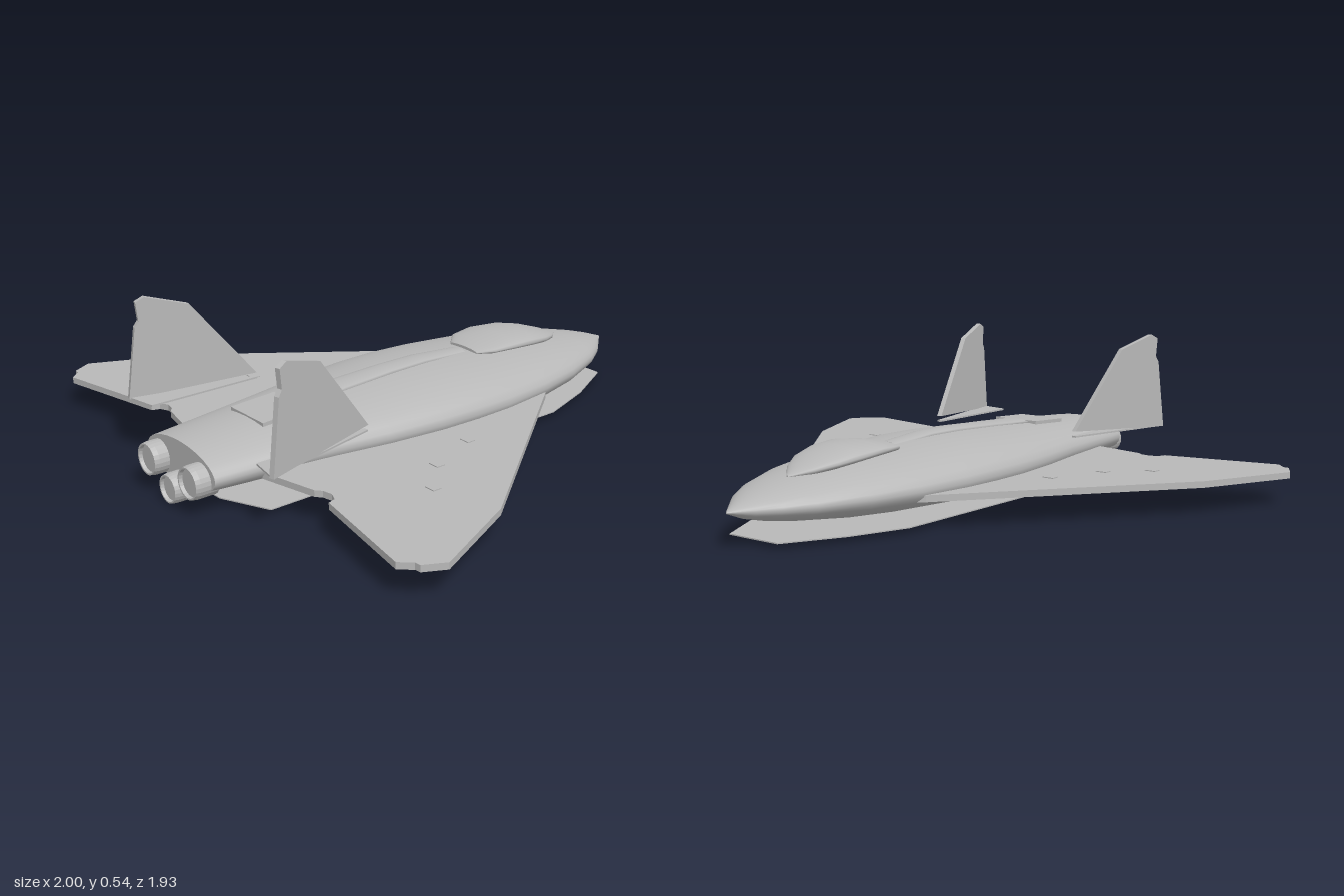
import * as THREE from 'three';

const hullGrey = new THREE.MeshStandardMaterial({ color: 0xb8b8b8, side: THREE.DoubleSide });
hullGrey.name = 'hullGrey';

function add(group, name, geometry) {
  const mesh = new THREE.Mesh(geometry, hullGrey);
  mesh.name = name;
  group.add(mesh);
  return mesh;
}

// Skin through elliptical stations [z, halfWidth, bottom, widestY, top], closed at both ends
function loft(stations, sides = 28) {
  const pos = [], idx = [];
  const ring = ([z, w, lo, mid, hi]) => {
    for (let j = 0; j < sides; j++) {
      const t = (j / sides) * Math.PI * 2, s = Math.sin(t);
      pos.push(Math.cos(t) * w, mid + s * (s > 0 ? hi - mid : mid - lo), z);
    }
  };
  stations.forEach(ring);
  for (let i = 0; i < stations.length - 1; i++) {
    for (let j = 0; j < sides; j++) {
      const a = i * sides + j, b = i * sides + (j + 1) % sides;
      idx.push(a, b, a + sides, b, b + sides, a + sides);
    }
  }
  // flat end caps with their own vertices
  [stations[0], stations[stations.length - 1]].forEach((st, end) => {
    const base = pos.length / 3;
    ring(st);
    pos.push(0, st[3], st[0]);
    for (let j = 0; j < sides; j++) {
      const a = base + j, b = base + (j + 1) % sides;
      if (end) idx.push(base + sides, a, b);
      else idx.push(base + sides, b, a);
    }
  });
  const g = new THREE.BufferGeometry();
  g.setAttribute('position', new THREE.Float32BufferAttribute(pos, 3));
  g.setIndex(idx);
  g.computeVertexNormals();
  return g;
}

const outline = (pts) => new THREE.Shape(pts.map(([a, b]) => new THREE.Vector2(a, b)));

// Plan outline of [x, z] points, extruded upward from y
function slab(pts, y, height) {
  const g = new THREE.ExtrudeGeometry(outline(pts.map(([x, z]) => [x, -z])), { depth: height, bevelEnabled: false });
  return g.rotateX(-Math.PI / 2).translate(0, y, 0);
}

const mirrored = (half) => [...half, ...half.map(([x, z]) => [-x, z]).reverse()];

export function createModel() {
  const model = new THREE.Group();
  model.name = 'spaceplane';

  // Fuselage, nose at -z
  add(model, 'fuselage', loft([
    [-0.965, 0.003, 0.113, 0.116, 0.119],
    [-0.9, 0.06, 0.088, 0.117, 0.143],
    [-0.84, 0.112, 0.074, 0.119, 0.16],
    [-0.75, 0.17, 0.06, 0.121, 0.18],
    [-0.58, 0.24, 0.042, 0.124, 0.205],
    [-0.4, 0.285, 0.031, 0.126, 0.22],
    [-0.2, 0.311, 0.024, 0.128, 0.232],
    [-0.05, 0.316, 0.022, 0.13, 0.238],
    [0.1, 0.311, 0.023, 0.13, 0.237],
    [0.3, 0.287, 0.028, 0.13, 0.23],
    [0.5, 0.25, 0.035, 0.13, 0.22],
    [0.7, 0.22, 0.043, 0.128, 0.21],
    [0.91, 0.194, 0.052, 0.125, 0.197],
  ], 32));

  // Canopy blister
  add(model, 'canopy', loft([
    [-0.71, 0.004, 0.183, 0.187, 0.191],
    [-0.65, 0.06, 0.18, 0.203, 0.217],
    [-0.58, 0.1, 0.19, 0.217, 0.241],
    [-0.5, 0.119, 0.2, 0.228, 0.26],
    [-0.4, 0.129, 0.21, 0.238, 0.263],
    [-0.31, 0.115, 0.214, 0.237, 0.252],
    [-0.26, 0.07, 0.217, 0.229, 0.238],
  ], 20));

  // Dorsal spine and rear hatch
  add(model, 'spine', loft([
    [-0.24, 0.035, 0.21, 0.225, 0.235],
    [-0.05, 0.044, 0.21, 0.238, 0.248],
    [0.1, 0.047, 0.21, 0.237, 0.248],
    [0.3, 0.053, 0.21, 0.229, 0.24],
    [0.49, 0.06, 0.2, 0.219, 0.23],
  ], 12));
  const hatch = add(model, 'rearHatch', new THREE.BoxGeometry(0.18, 0.016, 0.17));
  hatch.position.set(0, 0.214, 0.577);
  hatch.rotation.x = 0.05;

  // Flat belly shield
  add(model, 'bellyShield', slab(mirrored([
    [0.1, -0.86], [0.2, -0.66], [0.27, -0.45], [0.27, 0.765], [0.1, 0.84],
  ]), 0.018, 0.004));

  for (const side of [1, -1]) {
    const label = side > 0 ? 'left' : 'right';
    const flip = (pts) => pts.map(([x, z]) => [x * side, z]);

    // Delta wing with notched trailing edge
    add(model, label + 'Wing', slab(flip([
      [0.15, -0.5], [0.285, -0.39], [0.85, 0.36], [0.998, 0.69], [0.96, 0.76], [0.94, 0.762],
      [0.905, 0.8], [0.5, 0.718], [0.492, 0.69], [0.46, 0.676], [0.425, 0.683],
      [0.405, 0.7], [0.2, 0.745],
    ]), 0.092, 0.022));

    // Small access panels on the wing
    for (const [x, z] of [[0.42, 0.1], [0.5, 0.3], [0.62, 0.42]]) {
      const panel = add(model, label + 'WingPanel', new THREE.BoxGeometry(0.04, 0.004, 0.03));
      panel.position.set(x * side, 0.115, z);
    }

    // Toed-out tail fin
    const fin = new THREE.ExtrudeGeometry(outline([
      [0, 0.218], [0.225, 0.495], [0.375, 0.54], [0.405, 0.525], [0.398, 0.46], [0.412, 0.44], [0.445, 0.197],
    ]), { depth: 0.018, bevelEnabled: false });
    fin.translate(0, 0, -0.009);
    const finMesh = add(model, label + 'TailFin', fin);
    finMesh.position.set(0.302 * side, 0, 0.42);
    finMesh.rotation.y = -Math.atan2(0.43, side * 0.105);

    // Thin foot plate under the fin
    add(model, label + 'FinFoot', slab(flip([
      [0.295, 0.42], [0.31, 0.42], [0.405, 0.85], [0.298, 0.83],
    ]), 0.196, 0.006));
  }

  // Three engine nozzles, each a lipped bell with a recessed face
  for (const [name, x, y, r, z0] of [
    ['leftEngine', 0.118, 0.11, 0.055, 0.88],
    ['rightEngine', -0.118, 0.11, 0.055, 0.88],
    ['centreEngine', 0, 0.05, 0.049, 0.835],
  ]) {
    const profile = [
      [r, z0], [r, 0.945], [r * 0.94, 0.962], [r * 0.84, 0.962], [r * 0.8, 0.95], [0, 0.95],
    ].map(([a, b]) => new THREE.Vector2(a, b));
    const g = new THREE.LatheGeometry(profile, 24).rotateX(Math.PI / 2).toNonIndexed();
    g.computeVertexNormals();
    add(model, name, g).position.set(x, y, 0);
  }

  return model;
}
